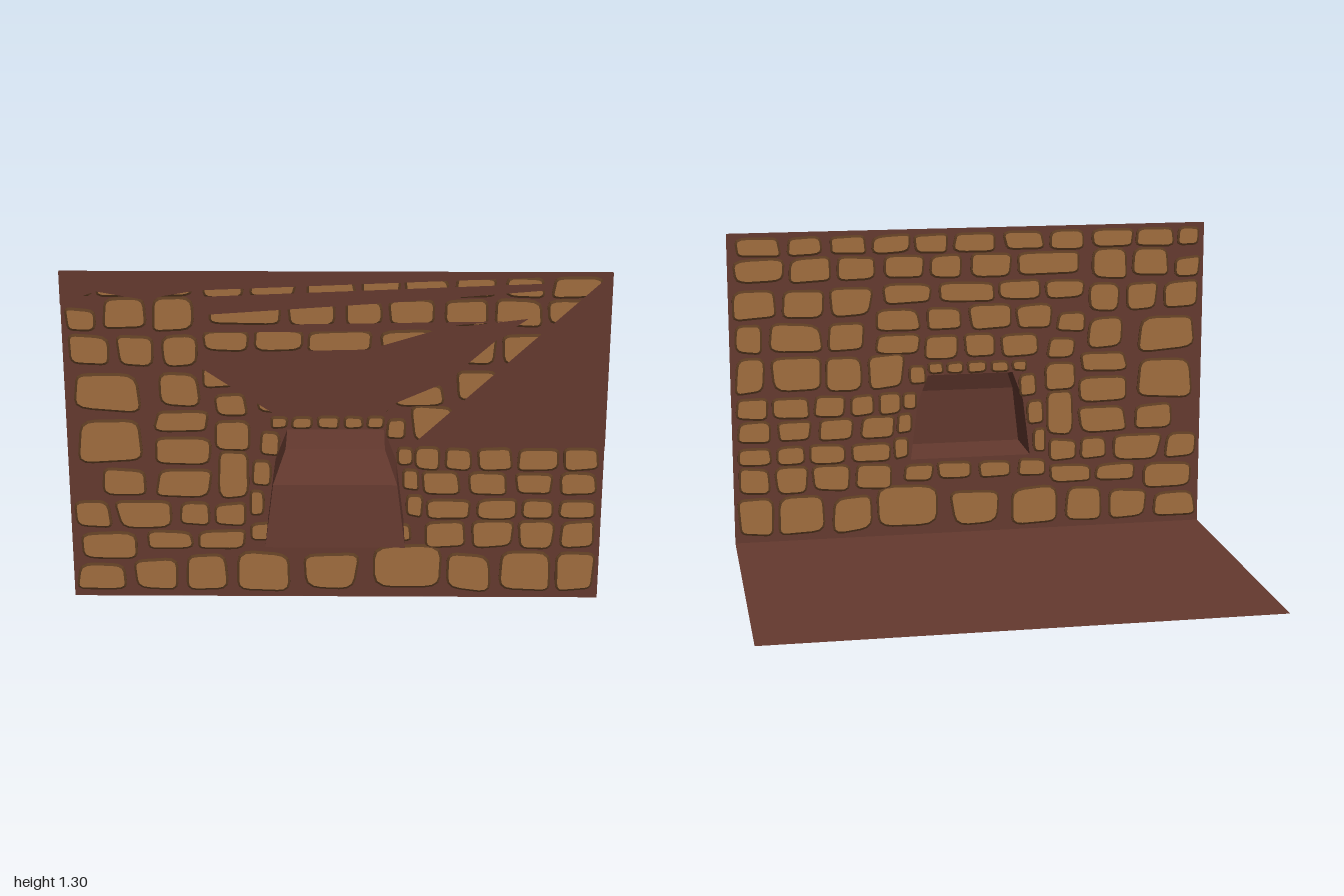
import * as THREE from 'three';

const WALL_Z = 0.504;
const mortar = new THREE.MeshStandardMaterial({ color: 0x653a2f, flatShading: true, side: THREE.DoubleSide });
const stoneFace = new THREE.MeshStandardMaterial({ color: 0xa06d3e });
const stoneEdge = new THREE.MeshStandardMaterial({ color: 0x5c3c22 });

function seeded(seed) {
  return () => (seed = (seed * 16807) % 2147483647) / 2147483647;
}

function polygon(points) {
  return new THREE.Shape(points.map(([x, y]) => new THREE.Vector2(x, y)));
}

function addMesh(parent, geometry, material, name) {
  const mesh = new THREE.Mesh(geometry, material);
  mesh.name = name;
  parent.add(mesh);
  return mesh;
}

// Irregular rounded outline filling a rectangle
function stoneShape(x0, y0, x1, y1, random) {
  const w = x1 - x0, h = y1 - y0;
  const j = () => random() * 0.13;
  const corners = [
    [x0 + w * j(), y0 + h * j()], [x1 - w * j(), y0 + h * j()],
    [x1 - w * j(), y1 - h * j()], [x0 + w * j(), y1 - h * j()],
  ].map(([x, y]) => new THREE.Vector2(x, y));
  const shape = new THREE.Shape();
  corners.forEach((c, i) => {
    const cut = 0.14 + random() * 0.18;
    const a = c.clone().lerp(corners[(i + 3) % 4], cut);
    const b = c.clone().lerp(corners[(i + 1) % 4], cut);
    if (i === 0) shape.moveTo(a.x, a.y);
    else shape.lineTo(a.x, a.y);
    shape.quadraticCurveTo(c.x, c.y, b.x, b.y);
  });
  shape.closePath();
  return shape;
}

function createStones() {
  const group = new THREE.Group();
  group.name = 'wallStones';
  const random = seeded(4711);
  const stone = (x0, x1, y0, y1) => {
    const inset = 0.011;
    const shape = stoneShape(x0 + inset, y0 + inset, x1 - inset, y1 - inset, random);
    const geometry = new THREE.ExtrudeGeometry(shape, {
      depth: 0.008, bevelThickness: 0.005, bevelSize: 0.009, bevelSegments: 1, curveSegments: 3,
    });
    geometry.translate(0, 0, 0.499);
    addMesh(group, geometry, [stoneFace, stoneEdge], 'stone');
  };
  // A course of stones between neighbouring x edges
  const row = (y0, y1, edges) => {
    for (let i = 0; i + 1 < edges.length; i++) stone(edges[i], edges[i + 1], y0, y1);
  };

  // Large foundation course
  stone(-0.995, -0.78, 0.015, 0.145);
  stone(-0.78, -0.58, 0.015, 0.17);
  stone(-0.58, -0.4, 0.015, 0.19);
  stone(-0.39, -0.15, 0.015, 0.2);
  stone(-0.14, 0.1, 0.015, 0.19);
  stone(0.11, 0.41, 0.015, 0.23);
  row(0.015, 0.2, [0.41, 0.61, 0.83, 0.995]);

  // Left side of the wall
  stone(-0.99, -0.73, 0.15, 0.28);
  row(0.19, 0.285, [-0.73, -0.53, -0.33]);
  row(0.28, 0.41, [-0.99, -0.84, -0.6]);
  row(0.29, 0.4, [-0.6, -0.47, -0.32]);
  stone(-0.89, -0.69, 0.41, 0.54);
  stone(-0.69, -0.45, 0.4, 0.54);
  stone(-0.45, -0.32, 0.39, 0.61);
  stone(-0.97, -0.71, 0.54, 0.75);
  row(0.54, 0.67, [-0.7, -0.45]);
  row(0.67, 0.77, [-0.69, -0.46]);
  row(0.75, 0.93, [-0.98, -0.7]);
  row(0.77, 0.92, [-0.67, -0.49]);
  row(0.6, 0.74, [-0.46, -0.31]);
  row(0.74, 0.84, [-0.46, -0.32]);
  row(0.85, 0.95, [-0.5, -0.36]);
  row(0.93, 1.07, [-0.99, -0.81, -0.65, -0.5]);
  stone(-0.99, -0.86, 1.07, 1.17);
  stone(-0.86, -0.68, 1.08, 1.21);
  stone(-0.68, -0.51, 1.07, 1.22);
  row(1.2, 1.295, [-0.99, -0.88, -0.7, -0.5]);

  // Small squared stones on the right
  row(0.2, 0.33, [0.32, 0.5, 0.68, 0.84, 0.99]);
  row(0.32, 0.42, [0.33, 0.52, 0.69, 0.83, 0.99]);
  row(0.42, 0.53, [0.31, 0.48, 0.66, 0.83, 0.99]);
  row(0.52, 0.63, [0.29, 0.4, 0.52, 0.67, 0.84, 0.99]);

  // Upper right and centre courses
  row(0.63, 0.8, [0.27, 0.45, 0.62, 0.85, 0.99]);
  row(0.78, 0.88, [0.2, 0.42]);
  row(0.8, 0.94, [0.43, 0.6, 0.85, 0.99]);
  row(0.75, 0.87, [-0.31, -0.12, 0.04, 0.2]);
  row(0.87, 0.99, [-0.36, -0.18, 0.02, 0.2, 0.41]);
  row(0.94, 1.08, [0.4, 0.6, 0.79, 0.99]);
  row(0.99, 1.09, [-0.5, -0.31, -0.11, 0.14, 0.38]);
  row(1.09, 1.21, [-0.5, -0.18, 0.02, 0.18, 0.38, 0.57, 0.76, 0.99]);
  row(1.2, 1.295, [-0.5, -0.32, -0.13, 0.08, 0.24, 0.42, 0.6, 0.77, 0.98]);

  // Little stones framing the niche
  row(0.23, 0.32, [-0.33, -0.19, -0.02, 0.15, 0.3]);
  row(0.33, 0.45, [-0.33, -0.26]);
  row(0.45, 0.58, [-0.32, -0.235]);
  row(0.58, 0.69, [-0.29, -0.2]);
  row(0.69, 0.75, [-0.25, -0.17, -0.08, 0.02, 0.11, 0.19]);
  row(0.65, 0.74, [0.18, 0.27]);
  row(0.54, 0.63, [0.22, 0.3]);
  row(0.44, 0.54, [0.245, 0.32]);
  row(0.33, 0.44, [0.26, 0.335]);
  return group;
}

// Niche outline as [half width, depth z, height y]
const NICHE = [[0.255, 0.763, 0.33], [0.225, 0.742, 0.57], [0.18, 0.693, 0.69]];

function createNiche() {
  const positions = [], index = [];
  for (const [w, z, y] of NICHE) {
    positions.push(-w, y, WALL_Z, -w, y, z, w, y, z, w, y, WALL_Z);
  }
  for (let r = 0; r < 2; r++) {
    for (let i = 0; i < 3; i++) {
      const a = r * 4 + i;
      index.push(a, a + 1, a + 5, a, a + 5, a + 4);
    }
  }
  index.push(0, 2, 1, 0, 3, 2, 8, 9, 10, 8, 10, 11);
  const indexed = new THREE.BufferGeometry();
  indexed.setAttribute('position', new THREE.Float32BufferAttribute(positions, 3));
  indexed.setIndex(index);
  const geometry = indexed.toNonIndexed();
  geometry.computeVertexNormals();
  return geometry;
}

export function createModel() {
  const model = new THREE.Group();
  model.name = 'stoneWallWithNiche';

  // Floor behind the wall
  const floor = addMesh(model, new THREE.PlaneGeometry(2, 1.27), mortar, 'floor');
  floor.rotation.x = -Math.PI / 2;
  floor.position.set(0, 0.001, -0.128);

  // Mortar sheet with the niche opening
  const sheet = polygon([[-1, 0], [1, 0], [1, 1.305], [-1, 1.305]]);
  const right = NICHE.map(([w, , y]) => [w, y]);
  const left = NICHE.map(([w, , y]) => [-w, y]).reverse();
  sheet.holes.push(polygon([...right, ...left]));
  addMesh(model, new THREE.ShapeGeometry(sheet), mortar, 'mortarWall').position.z = WALL_Z;

  addMesh(model, createNiche(), mortar, 'niche');
  model.add(createStones());

  // Mortar swelling over the stones on the front
  const swellings = [
    [[0.28, 0.63], [1, 0.63], [1, 1.305], [0.97, 1.28]],
    [[-0.5, 0.94], [-0.22, 0.75], [0.17, 0.75], [0.22, 0.8], [0.4, 0.88], [0.6, 1.06], [0.7, 1.13],
      [0.38, 1.09], [0.12, 1.01], [-0.5, 0.995]],
    [[-0.5, 1.075], [0.14, 1.08], [0.62, 1.12], [-0.5, 1.1]],
    [[-0.5, 1.14], [0.2, 1.19], [0.78, 1.24], [0.78, 1.265], [-0.5, 1.21]],
    [[-1, 1.18], [-0.87, 1.23], [-0.7, 1.2], [-0.5, 1.235], [0.8, 1.29], [1, 1.305], [-1, 1.305]],
  ];
  for (const points of swellings) {
    addMesh(model, new THREE.ShapeGeometry(polygon(points)), mortar, 'mortarSwelling').position.z = 0.514;
  }
  return model;
}
